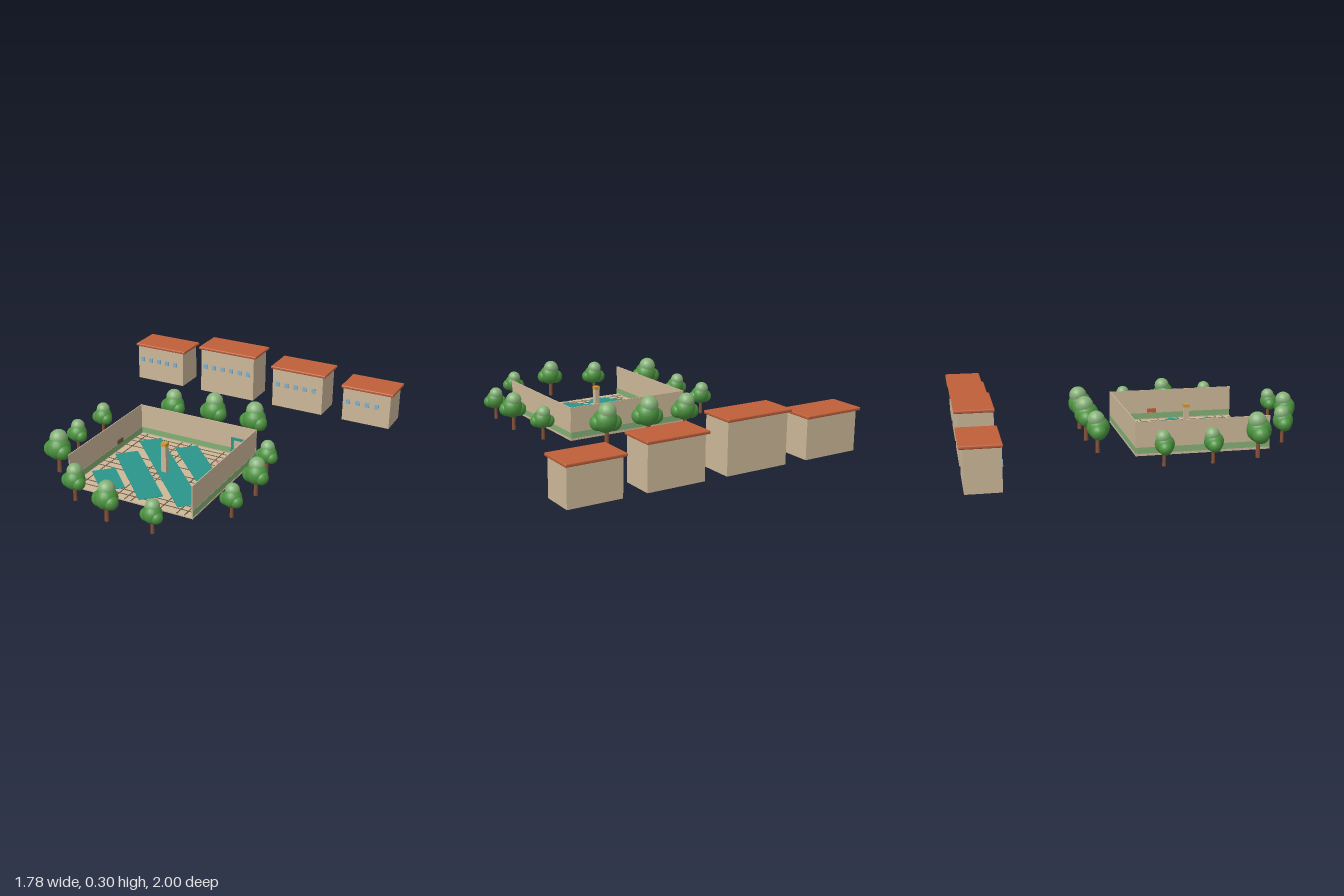
import * as THREE from 'three';
import { RoundedBoxGeometry } from 'three/addons/geometries/RoundedBoxGeometry.js';

const mat = (name, color) => {
  const m = new THREE.MeshStandardMaterial({ color });
  m.name = name;
  return m;
};

export function createModel() {
  const M = {
    sandstone: mat('sandstone', 0xcdb899),
    terracotta: mat('terracotta', 0xbf5f3a),
    teal: mat('teal', 0x2a958c),
    pink: mat('pink', 0xcf7884),
    gold: mat('gold', 0xd09a35),
    glass: mat('window blue', 0x7fb0cc),
    bark: mat('bark', 0x855136),
    joint: mat('joint brown', 0x6b5a48),
    paleGreen: mat('pale green', 0x84b076),
    leaf: mat('leaf green', 0x4d9440),
  };
  const model = new THREE.Group();
  model.name = 'courtyardSquare';

  const group = (name, parent = model) => {
    const g = new THREE.Group();
    g.name = name;
    parent.add(g);
    return g;
  };
  const add = (parent, name, geometry, material, x, y, z) => {
    const mesh = new THREE.Mesh(geometry, material);
    mesh.name = name;
    mesh.position.set(x, y, z);
    parent.add(mesh);
    return mesh;
  };
  // Box placed by its centre in x and z and by its underside in y
  const box = (parent, name, material, w, h, d, x, y, z) =>
    add(parent, name, new THREE.BoxGeometry(w, h, d), material, x, y + h / 2, z);

  // Plaza: floor slab, with the courtyard centred on (cx, cz)
  const cx = -0.03, cz = 0.335, size = 0.755, half = size / 2;
  const plaza = group('plaza');
  box(plaza, 'floor', M.sandstone, size, 0.007, size, cx, 0, cz);

  // Paving joints
  for (const x of [-0.36, -0.125, -0.065, -0.025, 0.15, 0.25, 0.295])
    box(plaza, 'pavingJoint', M.joint, 0.007, 0.001, size - 0.01, x, 0.007, cz);
  for (const z of [-0.005, 0.037, 0.08, 0.143, 0.255, 0.335, 0.38, 0.43, 0.615, 0.66])
    box(plaza, 'pavingJoint', M.joint, size - 0.01, 0.001, 0.007, cx, 0.007, z);

  // Diagonal floor bands: [x, z, length]
  for (const [x, z, length] of [
    [0.111, 0.198, 0.52], [-0.018, 0.317, 0.82], [-0.143, 0.436, 0.56], [-0.257, 0.563, 0.24],
  ]) {
    const band = box(plaza, 'floorBand', M.teal, length, 0.003, 0.132, x, 0.008, z);
    band.rotation.y = -Math.PI / 4;
  }
  const pad = box(plaza, 'pinkPad', M.pink, 0.155, 0.004, 0.066, 0.24, 0.008, 0.064);
  pad.rotation.y = Math.PI / 4;

  // Three thin walls, each with a painted band on both faces
  const walls = group('courtyardWalls');
  const wall = (name, x, z, turn) => {
    const g = group(name, walls);
    g.position.set(x, 0, z);
    g.rotation.y = turn;
    box(g, 'wallPanel', M.sandstone, size, 0.19, 0.005, 0, 0, 0);
    box(g, 'wallBand', M.paleGreen, size - 0.002, 0.034, 0.008, 0, 0.013, 0);
  };
  wall('backWall', cx, cz - half + 0.004, 0);
  wall('leftWall', cx + half - 0.004, cz, Math.PI / 2);
  wall('rightWall', cx - half + 0.004, cz, Math.PI / 2);

  // Gate frame on the back wall and small plates on the side walls
  const gate = group('gateFrame');
  for (const x of [0.2, 0.272]) box(gate, 'gatePost', M.teal, 0.014, 0.1, 0.008, x, 0.007, -0.032);
  box(gate, 'gateBeam', M.teal, 0.086, 0.014, 0.008, 0.236, 0.1, -0.032);
  box(model, 'leftWallPlate', M.terracotta, 0.008, 0.025, 0.055, 0.336, 0.05, 0.217);
  box(model, 'rightWallPlate', M.joint, 0.008, 0.025, 0.055, -0.396, 0.05, 0.217);

  // Central pillar with a gilded cap
  const pillar = group('pillar');
  box(pillar, 'pillarShaft', M.sandstone, 0.03, 0.16, 0.03, -0.032, 0.007, 0.335);
  box(pillar, 'pillarCap', M.gold, 0.034, 0.018, 0.034, -0.032, 0.167, 0.335);

  // Row of houses: [roof x min, roof x max, wall height, window count]
  const houses = group('houses');
  for (const [x0, x1, h, windows] of [
    [-0.893, -0.527, 0.227, 5], [-0.42, -0.015, 0.285, 6],
    [0.09, 0.455, 0.247, 5], [0.56, 0.89, 0.21, 4],
  ]) {
    const g = group('house', houses), x = (x0 + x1) / 2, w = x1 - x0;
    box(g, 'houseWalls', M.sandstone, w - 0.03, h, 0.186, x, 0, -0.887);
    add(g, 'roof', new RoundedBoxGeometry(w, 0.018, 0.212, 2, 0.006), M.terracotta, x, h + 0.008, -0.894);
    for (let i = 0; i < windows; i++)
      box(g, 'window', M.glass, 0.026, 0.03, 0.008, x0 + 0.049 + i * 0.061, h * 0.61 - 0.015, -0.792);
  }

  // Trees: [x, z, height]
  const trunkGeo = new THREE.CylinderGeometry(0.04, 0.052, 0.55, 10);
  const crownGeo = new THREE.SphereGeometry(1, 18, 12);
  const lobes = [ // [x, y, z, radius, material]
    [0.02, 0.6, 0.02, 0.27, M.leaf],
    [-0.16, 0.53, 0.0, 0.19, M.leaf],
    [0.17, 0.55, 0.08, 0.18, M.leaf],
    [0, 0.8, -0.03, 0.2, M.paleGreen],
  ];
  const trees = group('trees');
  for (const [x, z, h] of [
    [-0.294, -0.23, 0.235], [-0.03, -0.25, 0.257], [0.235, -0.245, 0.255],
    [-0.61, 0.065, 0.195], [-0.61, 0.33, 0.195], [-0.555, 0.595, 0.252],
    [0.463, 0.068, 0.195], [0.52, 0.33, 0.222], [0.51, 0.597, 0.192],
    [-0.294, 0.825, 0.212], [-0.03, 0.93, 0.228], [0.235, 0.925, 0.19],
  ]) {
    const tree = group('tree', trees);
    tree.position.set(x, 0, z);
    tree.scale.setScalar(h);
    add(tree, 'trunk', trunkGeo, M.bark, 0, 0.275, 0);
    for (const [lx, ly, lz, r, material] of lobes)
      add(tree, 'crown', crownGeo, material, lx, ly, lz).scale.setScalar(r);
  }
  return model;
}
